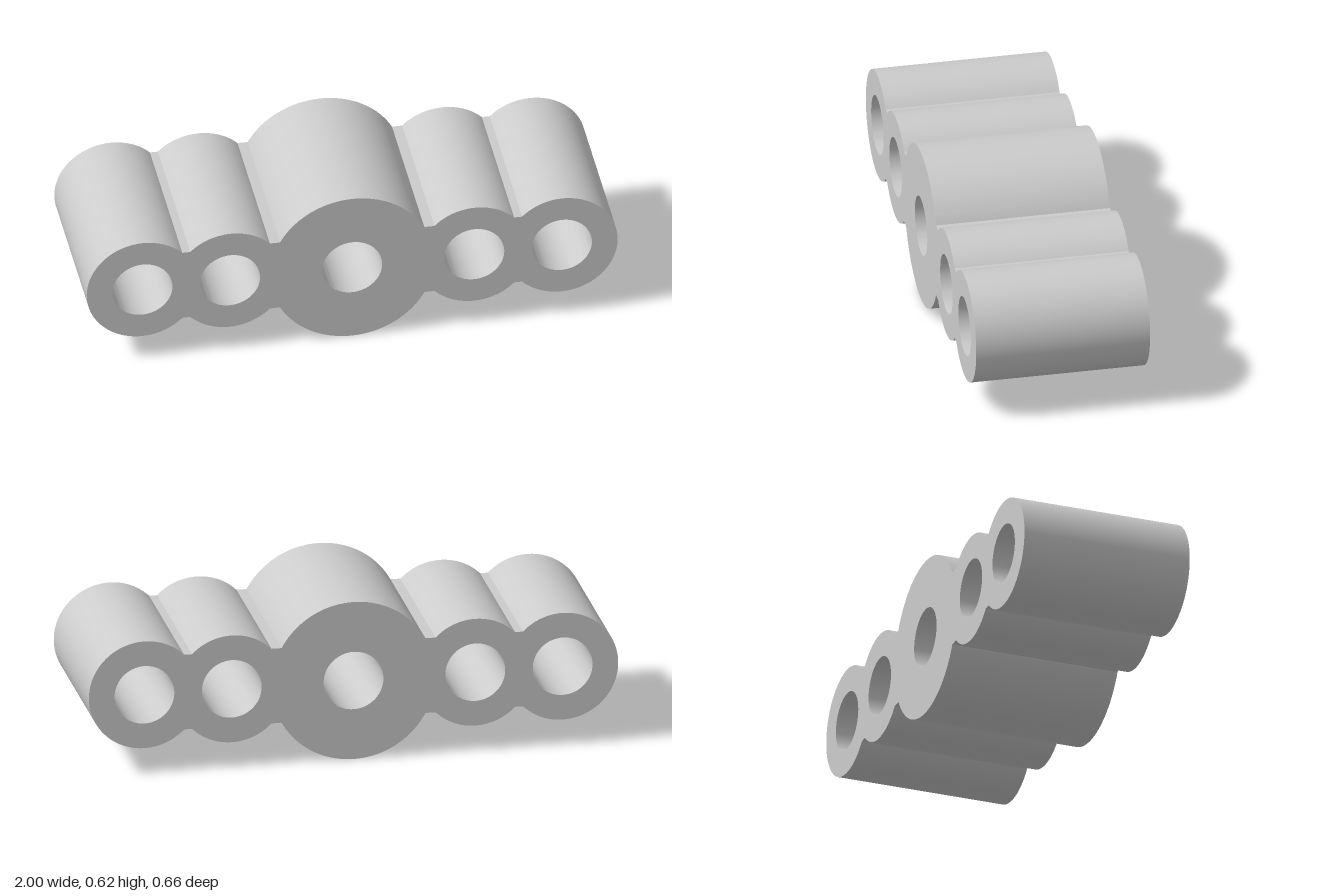
import * as THREE from 'three';
import { toCreasedNormals } from 'three/addons/utils/BufferGeometryUtils.js';

const CY = 0.309;      // height of the row of bores
const DEPTH = 0.658;
const WEB = 0.147;     // half height of the webs joining the tubes
const BORE = 0.113;
const tubes = [
  { x: 0.79, r: 0.21 }, { x: 0.46, r: 0.21 }, { x: 0, r: 0.309 },
  { x: -0.46, r: 0.21 }, { x: -0.79, r: 0.21 },
];

export function createModel() {
  const group = new THREE.Group();
  group.name = 'tubeBlock';

  // Outline: arcs joined by short flat webs, anticlockwise from the right end
  const outline = new THREE.Shape();
  const arc = ({ x, r }, from, to) => outline.absarc(x, CY, r, from, to, false);
  const webAngle = ({ r }) => Math.asin(WEB / r);
  const [first, ...rest] = tubes;
  const last = rest.pop();
  arc(first, webAngle(first) - Math.PI, Math.PI - webAngle(first));
  for (const t of rest) arc(t, webAngle(t), Math.PI - webAngle(t));
  arc(last, webAngle(last), 2 * Math.PI - webAngle(last));
  for (const t of [...rest].reverse()) arc(t, Math.PI + webAngle(t), 2 * Math.PI - webAngle(t));
  outline.closePath();

  // Through bores
  for (const { x } of tubes) {
    outline.holes.push(new THREE.Path().absarc(x, CY, BORE, 0, 2 * Math.PI, true));
  }

  const extruded = new THREE.ExtrudeGeometry(outline, {
    depth: DEPTH, bevelEnabled: false, curveSegments: 32,
  }).translate(0, 0, -DEPTH / 2);
  const body = new THREE.Mesh(
    toCreasedNormals(extruded, 0.5),
    new THREE.MeshStandardMaterial({ color: 0xcccccc }),
  );
  body.name = 'boredBody';
  group.add(body);
  return group;
}
